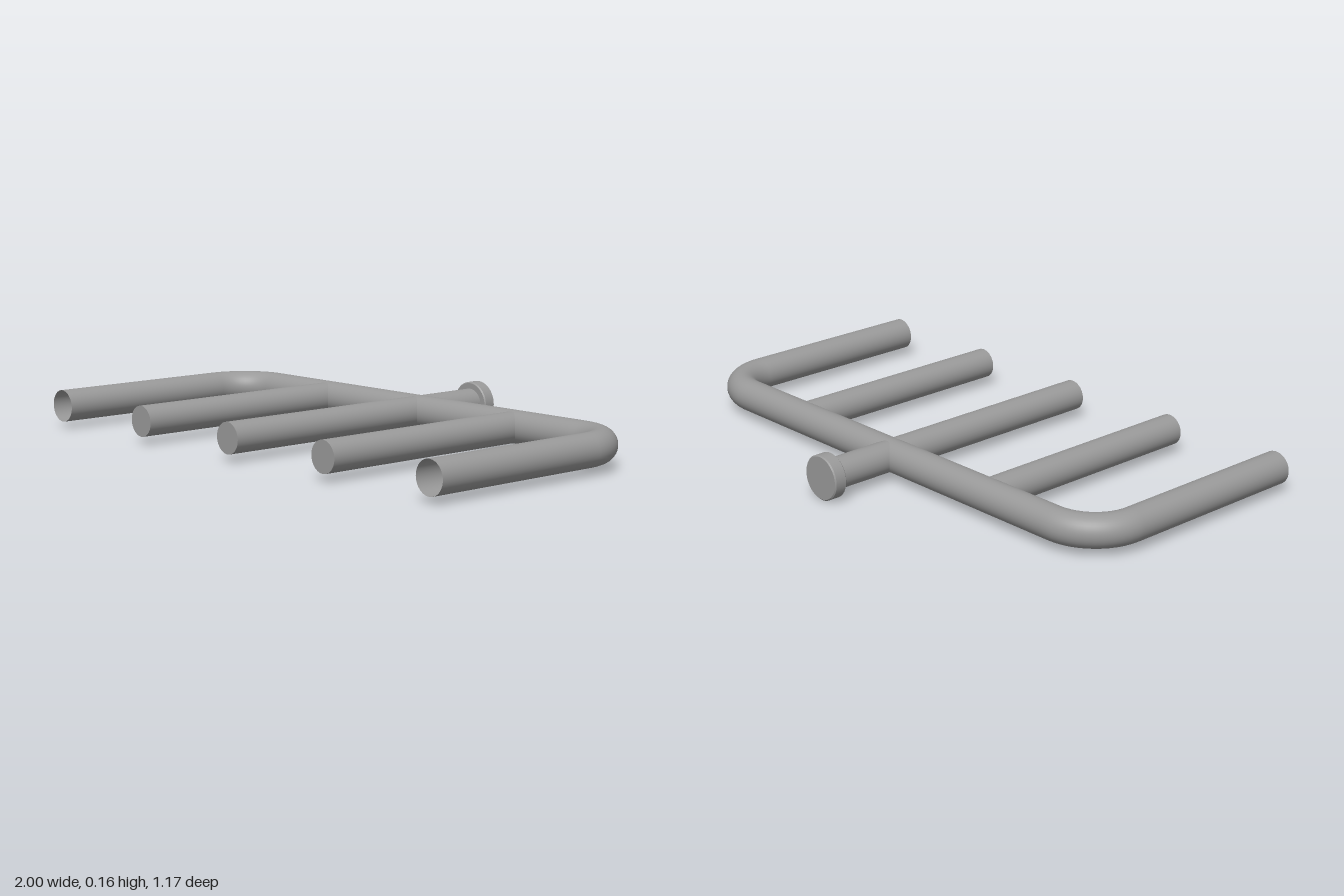
import * as THREE from 'three';

const Y = 0.079;        // height of all pipe centres
const PIPE_R = 0.057;
const ROD_R = 0.054;
const BACK_Z = -0.28;   // centre line of the cross pipe
const FRONT_Z = 0.585;
const SIDE_X = 0.943;
const BEND = 0.17;

export function createModel() {
  const model = new THREE.Group();
  model.name = 'pipeManifold';
  const steel = new THREE.MeshStandardMaterial({ color: 0x999999, side: THREE.DoubleSide });
  steel.name = 'grey steel';

  const add = (name, geometry) => {
    const mesh = new THREE.Mesh(geometry, steel);
    mesh.name = name;
    model.add(mesh);
    return mesh;
  };
  const v = (x, z) => new THREE.Vector3(x, Y, z);

  // Open-ended pipe: two side legs joined to the cross pipe by round bends
  const k = BEND * 0.4477;
  const path = new THREE.CurvePath();
  path.add(new THREE.LineCurve3(v(-SIDE_X, FRONT_Z), v(-SIDE_X, BACK_Z + BEND)));
  path.add(new THREE.CubicBezierCurve3(
    v(-SIDE_X, BACK_Z + BEND), v(-SIDE_X, BACK_Z + k),
    v(-SIDE_X + k, BACK_Z), v(-SIDE_X + BEND, BACK_Z)));
  path.add(new THREE.LineCurve3(v(-SIDE_X + BEND, BACK_Z), v(SIDE_X - BEND, BACK_Z)));
  path.add(new THREE.CubicBezierCurve3(
    v(SIDE_X - BEND, BACK_Z), v(SIDE_X - k, BACK_Z),
    v(SIDE_X, BACK_Z + k), v(SIDE_X, BACK_Z + BEND)));
  path.add(new THREE.LineCurve3(v(SIDE_X, BACK_Z + BEND), v(SIDE_X, FRONT_Z)));
  add('bentPipe', new THREE.TubeGeometry(path, 160, PIPE_R, 40, false));

  // Capped straight rod along z
  const rod = (name, x, z0, z1) => {
    const geometry = new THREE.CylinderGeometry(ROD_R, ROD_R, z1 - z0, 40);
    geometry.rotateX(Math.PI / 2);
    add(name, geometry).position.set(x, Y, (z0 + z1) / 2);
  };
  rod('rightBranch', -0.471, BACK_Z, FRONT_Z);
  rod('middleBranch', 0, BACK_Z, FRONT_Z);
  rod('leftBranch', 0.471, BACK_Z, FRONT_Z);
  rod('inletPipe', 0, -0.55, BACK_Z);

  // Flange on the inlet, with lightly bevelled rims
  const R = 0.078, H = 0.048, B = 0.004;
  const outline = [[0, 0], [R - B, 0], [R - B, 0], [R, B], [R, B],
    [R, H - B], [R, H - B], [R - B, H], [R - B, H], [0, H]];
  const flange = new THREE.LatheGeometry(
    outline.map(([x, y]) => new THREE.Vector2(x, y)), 48).toNonIndexed();
  // Flat faces on the discs, radial normals on the rim
  const p = flange.attributes.position, n = flange.attributes.normal;
  const a = new THREE.Vector3(), b = new THREE.Vector3(), c = new THREE.Vector3();
  for (let i = 0; i < p.count; i += 3) {
    a.fromBufferAttribute(p, i);
    b.fromBufferAttribute(p, i + 1).sub(a);
    c.fromBufferAttribute(p, i + 2).sub(a);
    const face = b.cross(c).normalize();
    const slope = Math.hypot(face.x, face.z);
    for (let j = i; j < i + 3; j++) {
      const r = Math.hypot(p.getX(j), p.getZ(j)) || 1;
      n.setXYZ(j, slope * p.getX(j) / r, face.y, slope * p.getZ(j) / r);
    }
  }
  flange.rotateX(Math.PI / 2);
  add('inletFlange', flange).position.set(0, Y, -0.588);

  return model;
}
